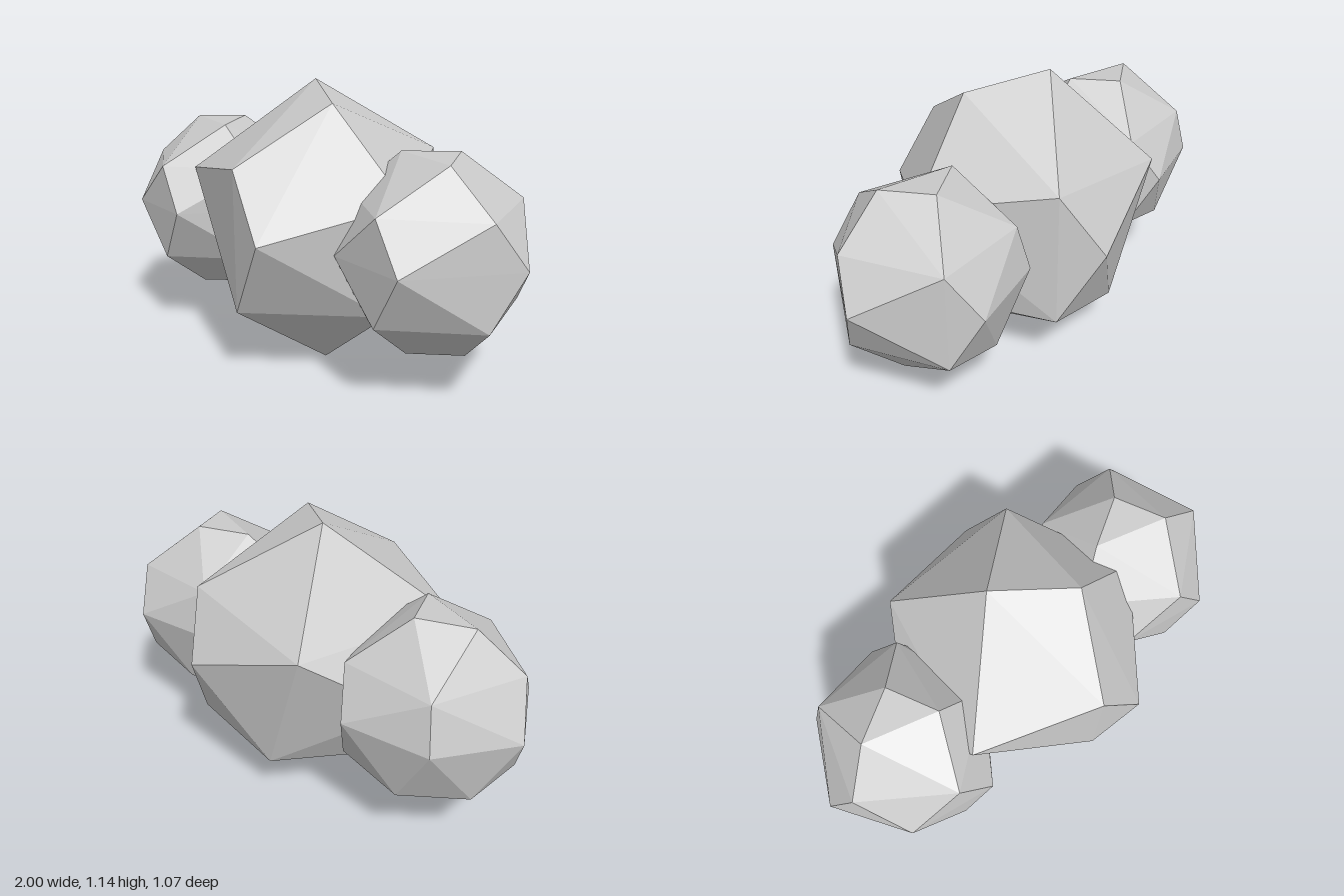
import * as THREE from 'three';
import { ConvexGeometry } from 'three/addons/geometries/ConvexGeometry.js';

const material = new THREE.MeshStandardMaterial({ color: 0xcccccc, flatShading: true });

// Faceted boulder: the hull of a few corner points
function boulder(name, corners, x, y) {
  const points = corners.map((c) => new THREE.Vector3(...c));
  const mesh = new THREE.Mesh(new ConvexGeometry(points), material);
  mesh.name = name;
  mesh.position.set(x, y, 0);
  return mesh;
}

// Corners of the large middle boulder, about its centre
const largeCorners = [
  [-0.08, 0.57, -0.07], [0.2, 0.515, 0.135],                          // crown
  [0.01, 0.285, 0.48], [-0.47, 0.19, 0.27], [0.54, 0.17, 0.1],        // upper ring
  [0.3, 0.285, -0.39], [-0.3, 0.195, -0.43],
  [0.19, 0.03, 0.535], [0.19, 0.03, -0.535], [-0.54, -0.06, -0.1],    // middle
  [0.015, -0.285, 0.48], [0.47, -0.285, 0.12], [0.3, -0.285, -0.39],  // lower ring
  [-0.09, -0.38, -0.39], [-0.42, -0.375, 0.02],
  [0.11, -0.575, 0.07],                                               // foot
];

// Corners of the small boulders, about their centre
const smallCorners = [
  [-0.165, 0.37, 0], [0.035, 0.38, -0.105], [0.125, 0.37, 0.095],     // crown
  [-0.005, 0.205, 0.345], [0.325, 0.2, 0.105], [-0.325, 0.2, 0.1],    // upper ring
  [0.205, 0.2, -0.28], [-0.19, 0.2, -0.28],
  [0.125, 0.02, 0.38], [0.405, 0.02, 0], [-0.23, 0.01, 0.305],        // middle
  [-0.405, -0.01, 0], [-0.225, 0.01, -0.315], [0.125, 0.02, -0.385],
  [-0.005, -0.205, 0.345], [0.325, -0.205, 0.105], [-0.325, -0.2, 0.1], // lower ring
  [0.205, -0.205, -0.28], [-0.06, -0.27, -0.28], [-0.275, -0.275, -0.1],
  [-0.035, -0.385, 0.11], [0.16, -0.37, 0],                           // foot
];

export function createModel() {
  const group = new THREE.Group();
  group.name = 'boulderCluster';
  group.add(boulder('middleBoulder', largeCorners, 0, 0.575));
  // The two small boulders share one shape and facing
  group.add(boulder('leftBoulder', smallCorners, 0.595, 0.55));
  group.add(boulder('rightBoulder', smallCorners, -0.595, 0.555));
  return group;
}
